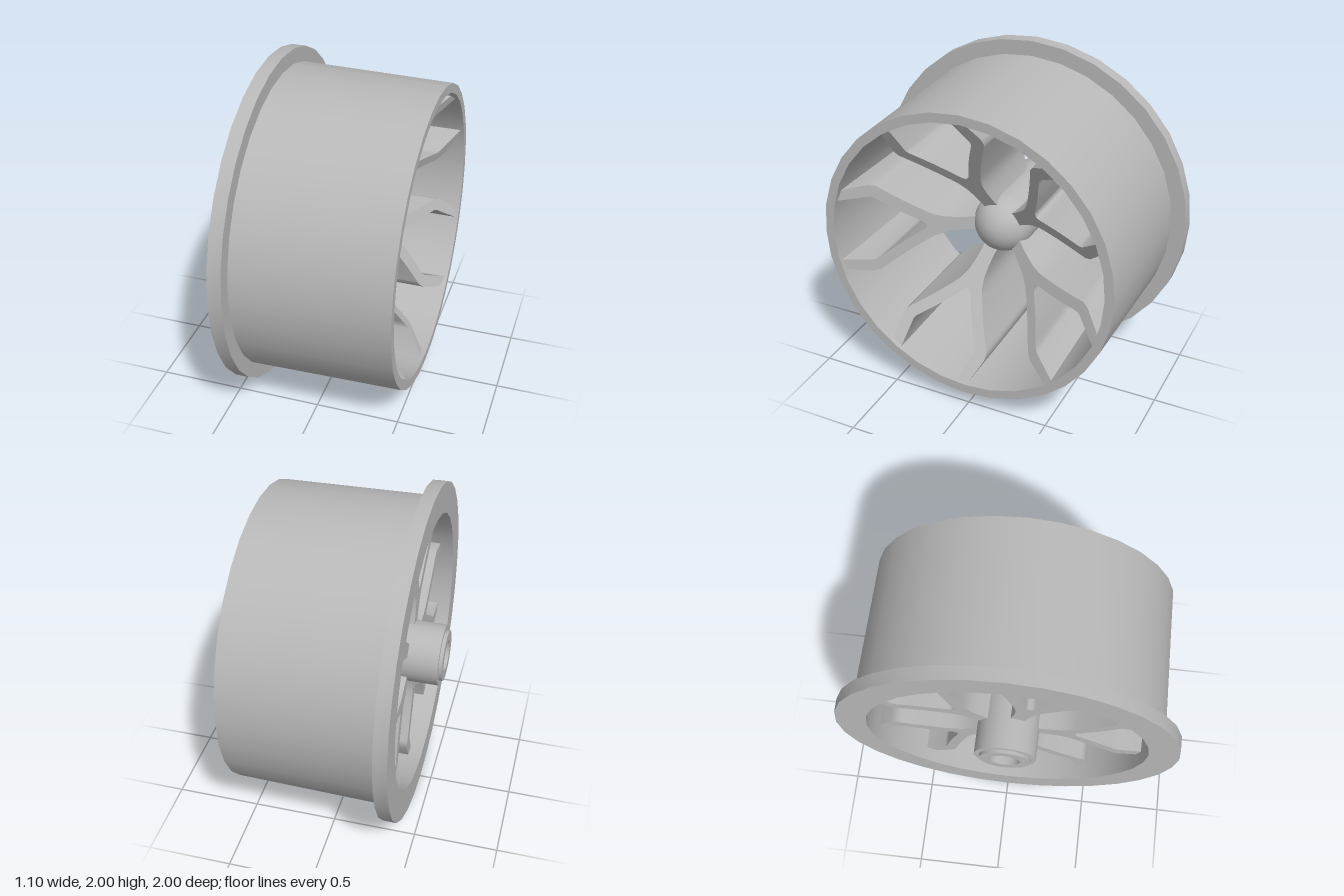
import * as THREE from 'three';
import { toCreasedNormals } from 'three/addons/utils/BufferGeometryUtils.js';

const V = (x, y) => new THREE.Vector2(x, y);

// Turned part whose axis runs along local z; profile is [radius, position]
function turned(profile, name, material, segments) {
  const lathe = new THREE.LatheGeometry(profile.map(([r, a]) => V(r, a)), segments);
  lathe.rotateX(Math.PI / 2);
  const mesh = new THREE.Mesh(toCreasedNormals(lathe, Math.PI / 5), material);
  mesh.name = name;
  return mesh;
}

// Y-shaped spoke: a stem that forks into two bent arms
function spokeGeometry() {
  const outer = new THREE.SplineCurve(
    [V(0.12, 0.045), V(0.2, 0.042), V(0.33, 0.063), V(0.45, 0.14), V(0.55, 0.217), V(0.625, 0.28)]
  ).getPoints(14);
  const inner = new THREE.SplineCurve(
    [V(0.635, 0.205), V(0.53, 0.117), V(0.43, 0.045), V(0.395, 0.02), V(0.385, 0)]
  ).getPoints(12);
  const half = [...outer, V(0.665, 0.288), V(0.79, 0.265), V(0.812, 0.198), V(0.655, 0.212), ...inner];
  const mirrored = half.slice(0, -1).reverse().map((p) => V(p.x, -p.y));
  const outline = [...half, ...mirrored].reverse();

  const geo = new THREE.ExtrudeGeometry(new THREE.Shape(outline), { depth: 1, bevelEnabled: false });
  // The open side of the spoke slopes from the hub out to the rim edge
  const pos = geo.attributes.position;
  for (let i = 0; i < pos.count; i++) {
    const back = -0.35;
    const front = 0.005 + 0.64 * pos.getX(i);
    pos.setZ(i, pos.getZ(i) > 0.5 ? front : back);
  }
  return toCreasedNormals(geo, Math.PI / 6);
}

export function createModel() {
  const steel = new THREE.MeshStandardMaterial({ color: 0xb8b8b8 });
  steel.name = 'grey steel';

  // Wheel is built around local z, then turned so its axle lies along x
  const wheel = new THREE.Group();
  wheel.name = 'wheel';
  wheel.rotation.y = Math.PI / 2;
  wheel.position.y = 1;

  // Flange, tapered tread and inner wall
  wheel.add(turned([
    [0.82, -0.43], [1, -0.43], [1, -0.35], [0.91, -0.35],
    [0.895, 0.545], [0.84, 0.545], [0.82, -0.43],
  ], 'flangedRim', steel, 32));

  // Hub with bored collar on one end and a dome on the other
  const dome = [];
  for (let i = 0; i <= 10; i++) {
    const a = (i / 10) * Math.PI / 2;
    dome.push([i === 10 ? 0 : 0.18 * Math.cos(a), 0.18 * Math.sin(a)]);
  }
  wheel.add(turned([
    [0, -0.2], [0.09, -0.2], [0.09, -0.55], [0.15, -0.55],
    [0.15, -0.53], [0.18, -0.53], ...dome,
  ], 'hub', steel, 32));

  // Five forked spokes
  const geo = spokeGeometry();
  for (let i = 0; i < 5; i++) {
    const spoke = new THREE.Mesh(geo, steel);
    spoke.name = 'spoke' + (i + 1);
    spoke.rotation.z = Math.PI / 5 + (i * Math.PI * 2) / 5;
    wheel.add(spoke);
  }

  const model = new THREE.Group();
  model.name = 'flangedWheel';
  model.add(wheel);
  return model;
}
